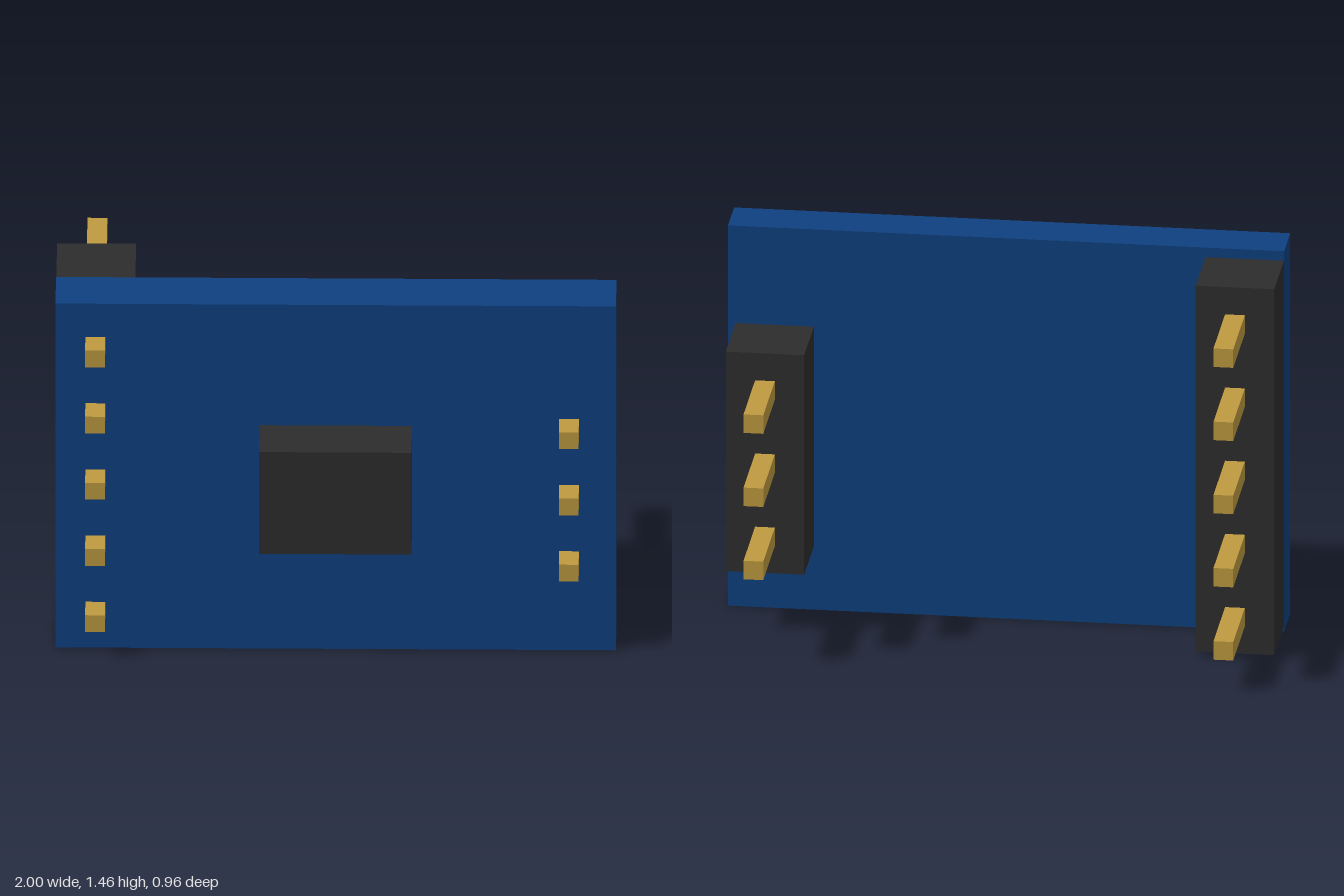
import * as THREE from 'three';

const boardBlue = new THREE.MeshStandardMaterial({ name: 'boardBlue', color: 0x0e4080 });
const plasticBlack = new THREE.MeshStandardMaterial({ name: 'plasticBlack', color: 0x2d2d2d });
const pinGold = new THREE.MeshStandardMaterial({ name: 'pinGold', color: 0xbe9a40 });

// Box given by its lower and upper limits on each axis
function block(name, material, [x0, x1], [y0, y1], [z0, z1]) {
  const mesh = new THREE.Mesh(new THREE.BoxGeometry(x1 - x0, y1 - y0, z1 - z0), material);
  mesh.position.set((x0 + x1) / 2, (y0 + y1) / 2, (z0 + z1) / 2);
  mesh.name = name;
  return mesh;
}

// Pin header: plastic strip behind the board with evenly pitched square pins
function pinHeader(name, x, yCentre, count) {
  const pitch = 0.281, half = 0.0355;
  const header = new THREE.Group();
  header.name = name;
  const halfHeight = (count * pitch) / 2;
  header.add(block('headerStrip', plasticBlack,
    [x - 0.141, x + 0.141], [yCentre - halfHeight, yCentre + halfHeight], [-0.149, 0.129]));
  for (let i = 0; i < count; i++) {
    const y = yCentre + (i - (count - 1) / 2) * pitch;
    header.add(block('pin', pinGold, [x - half, x + half], [y - half, y + half], [-0.481, 0.393]));
  }
  return header;
}

export function createModel() {
  const model = new THREE.Group();
  model.name = 'circuitModule';
  model.add(block('circuitBoard', boardBlue, [-1, 1], [0, 1.46], [0.129, 0.304]));
  model.add(block('chip', plasticBlack, [-0.272, 0.272], [0.516, 0.948], [0.304, 0.481]));
  model.add(pinHeader('rightHeader', -0.858, 0.721, 5));
  model.add(pinHeader('leftHeader', 0.832, 0.665, 3));
  return model;
}
